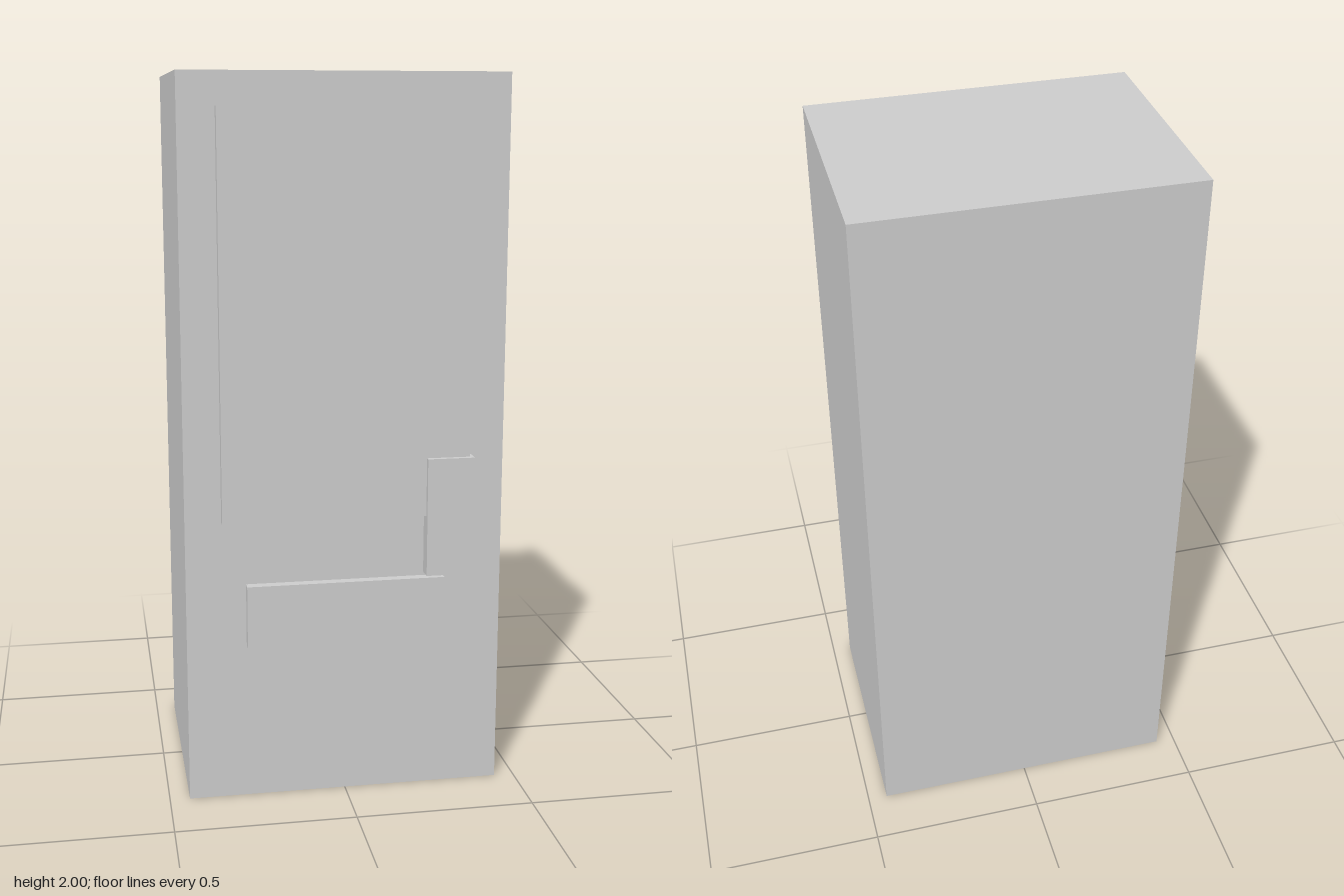
import * as THREE from 'three';

const material = new THREE.MeshStandardMaterial({ color: 0xcccccc, flatShading: true });

// Box given by its extents along each axis
function block(name, [x0, x1], [y0, y1], [z0, z1]) {
  const mesh = new THREE.Mesh(new THREE.BoxGeometry(x1 - x0, y1 - y0, z1 - z0), material);
  mesh.position.set((x0 + x1) / 2, (y0 + y1) / 2, (z0 + z1) / 2);
  mesh.name = name;
  return mesh;
}

export function createModel() {
  const model = new THREE.Group();
  model.name = 'vendingMachine';
  const face = 0.312; // front plane of the cabinet
  const inset = face - 0.01; // front parts are seated slightly into the cabinet

  model.add(
    block('cabinet', [-0.444, 0.444], [0, 2], [-0.354, face]),
    block('displayWindow', [-0.344, 0.343], [0.803, 1.911], [inset, 0.34]),
    block('paymentPanel', [0.222, 0.354], [0.634, 0.967], [inset, 0.354]),
    block('dispenserFlap', [-0.278, 0.277], [0.448, 0.624], [inset, 0.34]),
  );
  return model;
}
